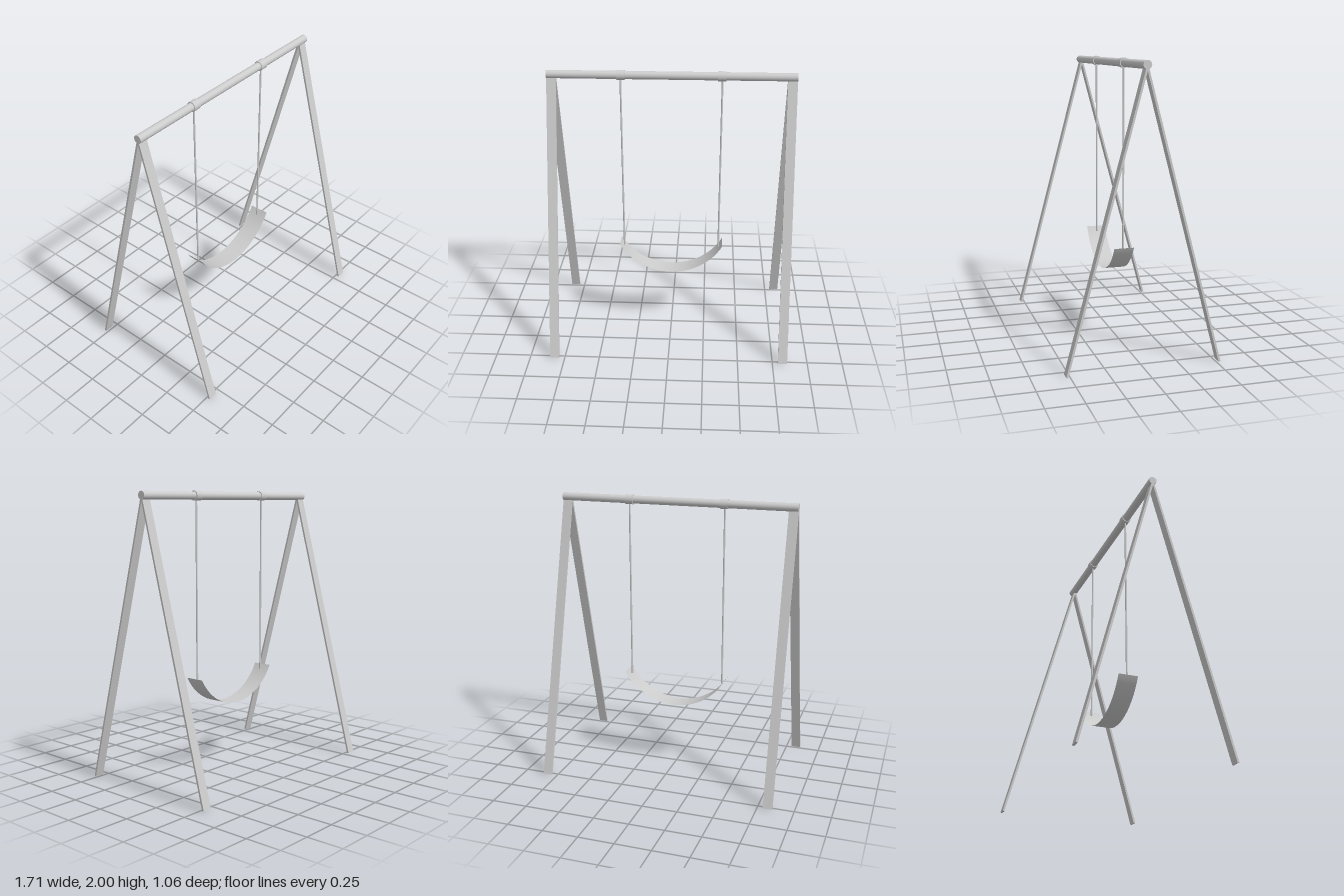
import * as THREE from 'three';

export function createModel() {
  const swing = new THREE.Group();
  swing.name = 'swingSet';
  const grey = new THREE.MeshStandardMaterial({ color: 0xcccccc });
  const thin = new THREE.MeshStandardMaterial({ color: 0xcccccc, side: THREE.DoubleSide });

  const add = (name, geometry, x, y, z, material = grey) => {
    const mesh = new THREE.Mesh(geometry, material);
    mesh.name = name;
    mesh.position.set(x, y, z);
    swing.add(mesh);
    return mesh;
  };

  // Horizontal top bar
  const barY = 1.967;
  add('topBar', new THREE.CylinderGeometry(0.028, 0.028, 1.71, 32).rotateZ(Math.PI / 2), 0, barY, 0);

  // Flat plank legs, leaning together in pairs under the bar
  const topY = 1.955, footY = 0.002, footZ = 0.522;
  const legLength = Math.hypot(topY - footY, footZ);
  const lean = Math.atan2(footZ, topY - footY);
  const legGeometry = new THREE.BoxGeometry(0.066, legLength, 0.014);
  for (const side of [-1, 1]) {
    for (const dir of [-1, 1]) {
      const name = (dir > 0 ? 'front' : 'back') + (side > 0 ? 'Left' : 'Right') + 'Leg';
      const leg = add(name, legGeometry, side * 0.822, (topY + footY) / 2, dir * footZ / 2);
      leg.rotation.x = -dir * lean;
    }
  }

  // Collars around the bar and the ropes hanging from them
  const collarGeometry = new THREE.CylinderGeometry(0.034, 0.034, 0.056, 32).rotateZ(Math.PI / 2);
  const ropeBottom = 0.665, ropeTop = 1.95;
  const ropeGeometry = new THREE.CylinderGeometry(0.0065, 0.0065, ropeTop - ropeBottom, 12);
  for (const side of [-1, 1]) {
    const suffix = side > 0 ? 'Left' : 'Right';
    add('collar' + suffix, collarGeometry, side * 0.345, barY, 0);
    add('rope' + suffix, ropeGeometry, side * 0.348, (ropeTop + ropeBottom) / 2, 0);
  }

  // Thin sling seat, an open arc sagging between the ropes
  const radius = 0.43, halfAngle = 1.06;
  const seatGeometry = new THREE.CylinderGeometry(
    radius, radius, 0.142, 48, 1, true, -halfAngle, 2 * halfAngle
  ).rotateX(Math.PI / 2);
  add('seat', seatGeometry, 0, 0.48 + radius, 0, thin);

  return swing;
}
